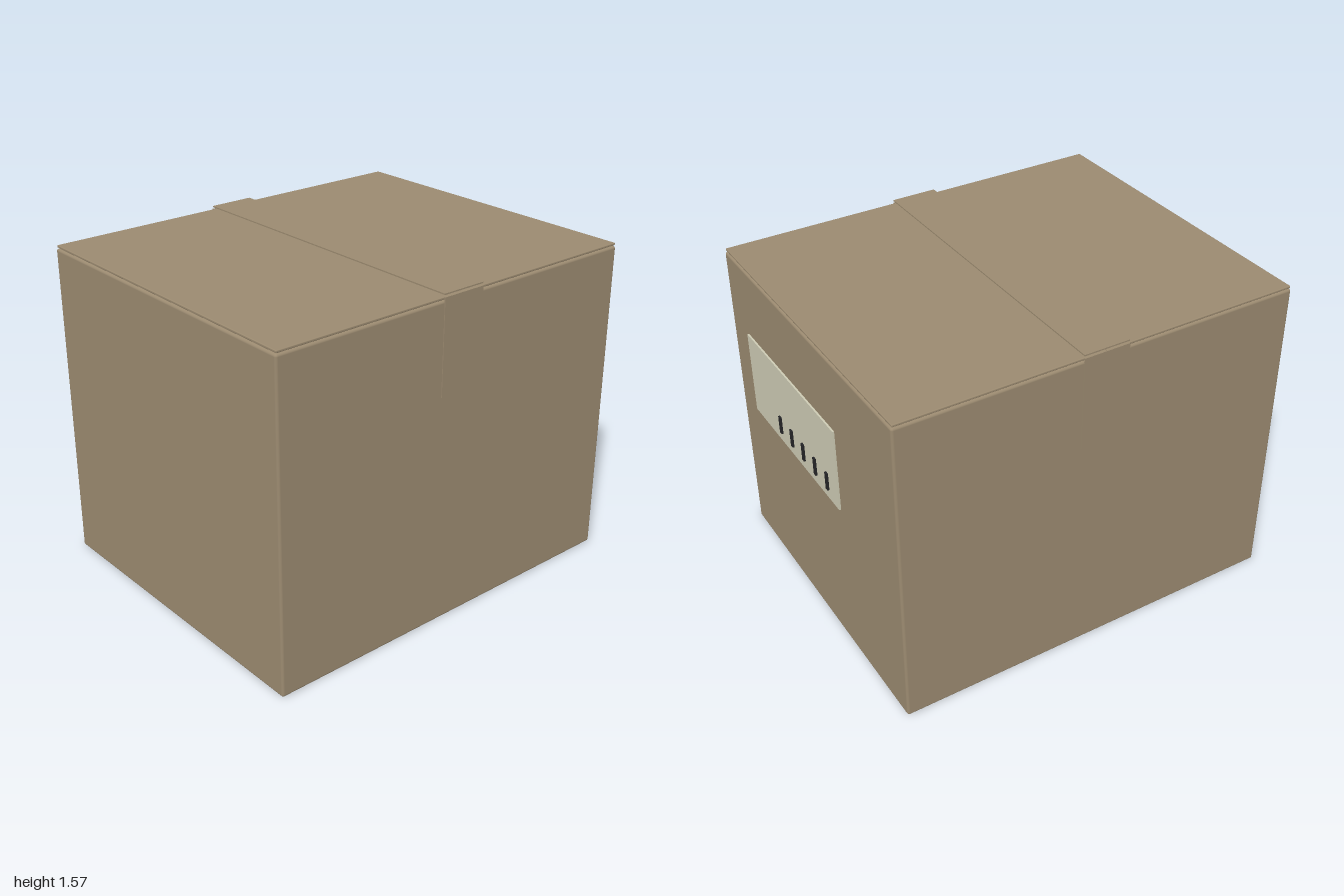
import * as THREE from 'three';
import { RoundedBoxGeometry } from 'three/addons/geometries/RoundedBoxGeometry.js';

const W = 1.942, H = 1.54, D = 1.6;

export function createModel() {
  const material = (name, color) => {
    const m = new THREE.MeshStandardMaterial({ color });
    m.name = name;
    return m;
  };
  const cardboard = material('cardboard', 0x9b8a70);
  const paper = material('label paper', 0xcdcbb4);
  const ink = material('dark ink', 0x252528);

  const carton = new THREE.Group();
  carton.name = 'carton';
  const add = (name, geometry, mat, x, y, z) => {
    const mesh = new THREE.Mesh(geometry, mat);
    mesh.name = name;
    mesh.position.set(x, y, z);
    carton.add(mesh);
  };

  // Box body with softly rounded edges
  add('body', new RoundedBoxGeometry(W, H, D, 3, 0.012), cardboard, 0, H / 2, 0);

  // Two closed top flaps meeting under the tape
  const flapW = W / 2 - 0.006;
  for (const s of [-1, 1]) {
    add(s > 0 ? 'leftFlap' : 'rightFlap', new RoundedBoxGeometry(flapW, 0.012, D - 0.006, 2, 0.004),
      cardboard, s * (flapW / 2 + 0.001), 1.549, 0);
  }

  // Sealing tape: top strip and the ends folded down front and back
  add('topTape', new THREE.BoxGeometry(0.22, 0.006, D), cardboard, 0, 1.567, 0);
  for (const s of [-1, 1]) {
    add(s > 0 ? 'frontTape' : 'backTape', new THREE.BoxGeometry(0.22, 0.445, 0.006),
      cardboard, 0, 1.3325, s * (D / 2 + 0.001));
  }

  // Shipping label with a row of printed bars on the left side
  add('label', new THREE.BoxGeometry(0.009, 0.415, 0.885), paper, W / 2 + 0.004, 0.9925, 0.174);
  for (let i = 0; i < 5; i++) {
    add('labelBar', new THREE.BoxGeometry(0.009, 0.09, 0.02), ink, W / 2 + 0.0125, 0.88, 0.31 - i * 0.12);
  }

  // The carton sits slightly turned
  carton.rotation.y = -0.0345;
  const model = new THREE.Group();
  model.name = 'cardboardBox';
  model.add(carton);
  return model;
}
